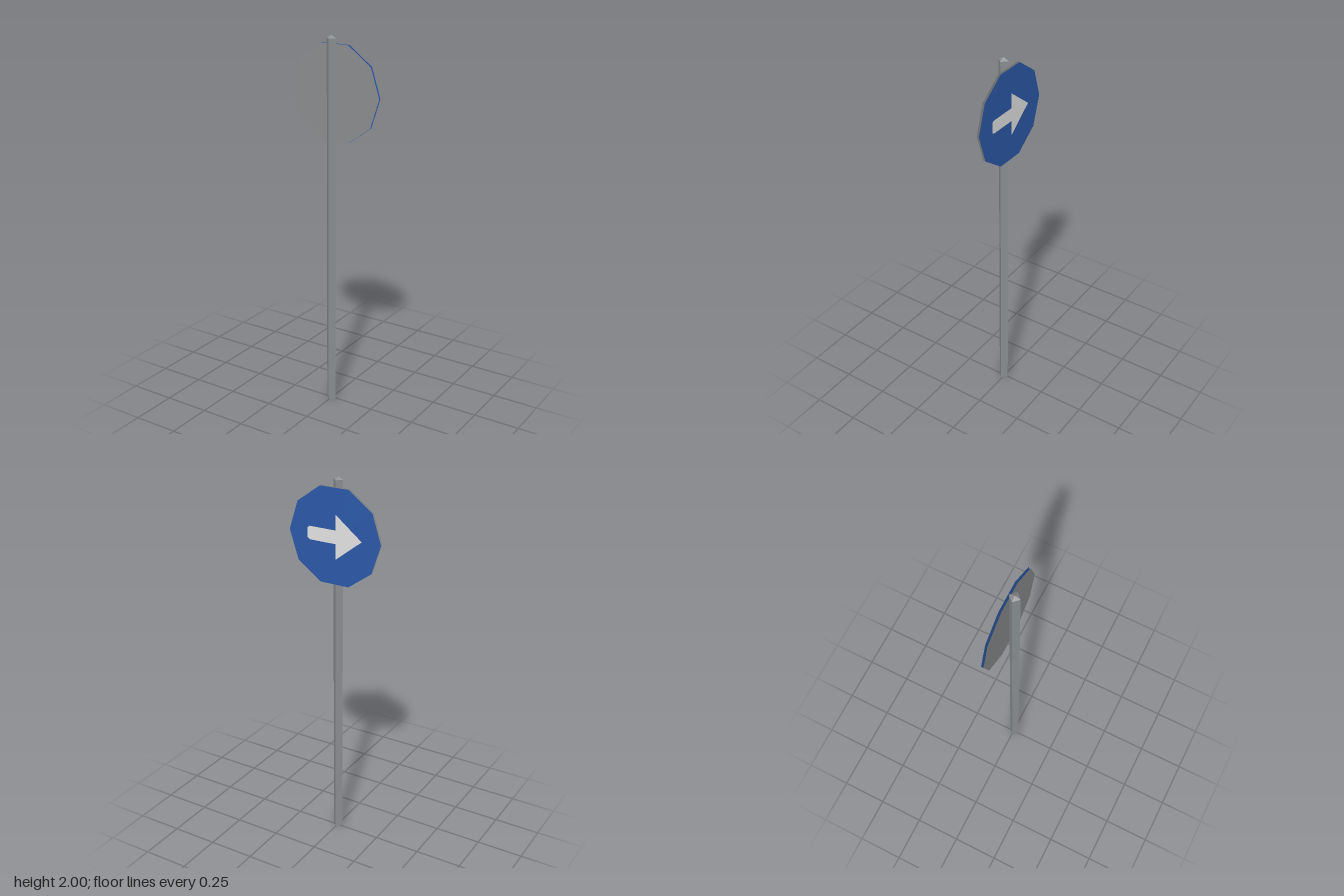
import * as THREE from 'three';

export function createModel() {
  const group = new THREE.Group();
  const material = (name, color, options = {}) => {
    const m = new THREE.MeshStandardMaterial({ color, ...options });
    m.name = name;
    return m;
  };
  const steel = material('steelGrey', 0x8b8e91, { flatShading: true });
  const sheet = material('sheetGrey', 0x8b8d8f, { side: THREE.DoubleSide });
  const blue = material('signBlue', 0x2c5aa9, { side: THREE.DoubleSide });
  const white = material('arrowWhite', 0xe4e4e4);

  const add = (name, geometry, mat, y, z) => {
    const mesh = new THREE.Mesh(geometry, mat);
    mesh.name = name;
    mesh.position.set(0, y, z);
    group.add(mesh);
    return mesh;
  };

  // Four-sided post, turned corner-on, with a shallow pyramid cap
  const postRadius = 0.0275, shoulder = 1.985, postZ = 0.006;
  add('post', new THREE.CylinderGeometry(postRadius, postRadius, shoulder, 4), steel, shoulder / 2, postZ);
  add('postCap', new THREE.ConeGeometry(postRadius, 2 - shoulder, 4, 1, true), steel, (2 + shoulder) / 2, postZ);

  // Ten-sided sign: grey sheet by the post, blue face turned to the rear
  const signY = 1.705, signRadius = 0.26;
  add('signBacking', new THREE.CircleGeometry(signRadius, 10), sheet, signY, -0.02);
  add('signFace', new THREE.CircleGeometry(signRadius, 10), blue, signY, -0.032).rotation.y = Math.PI;

  // Arrow on the blue face
  const arrow = new THREE.Shape([
    [-0.153, -0.026], [-0.14, -0.035], [0.008, -0.035], [0.008, -0.115],
    [0.155, 0], [0.008, 0.115], [0.008, 0.035], [-0.14, 0.035], [-0.153, 0.026],
  ].map(([x, y]) => new THREE.Vector2(x, y)));
  add('arrow', new THREE.ShapeGeometry(arrow), white, signY, -0.0335).rotation.y = Math.PI;

  return group;
}
